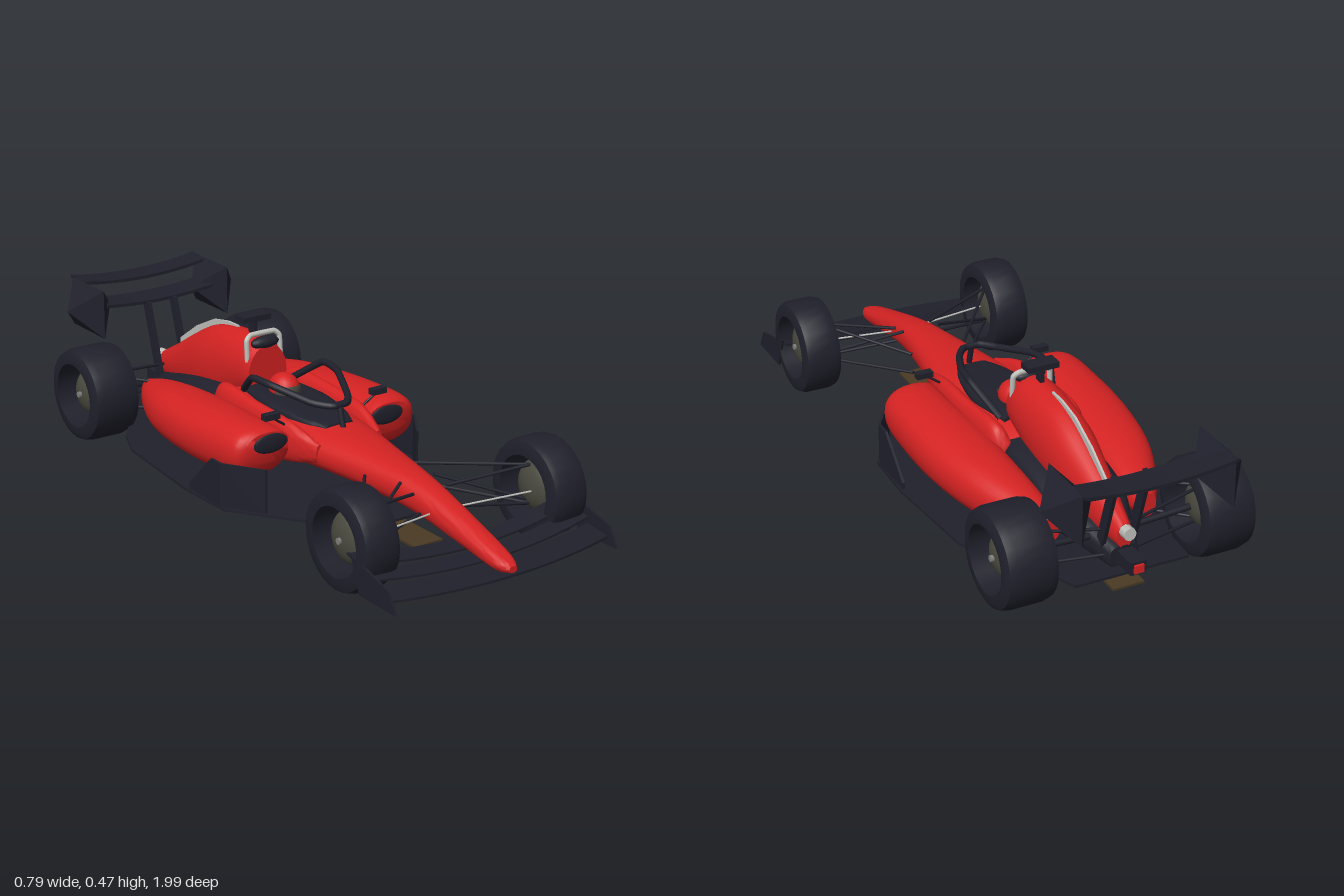
import * as THREE from 'three';
import { toCreasedNormals } from 'three/addons/utils/BufferGeometryUtils.js';

const mat = (name, color) => {
  const m = new THREE.MeshStandardMaterial({ color });
  m.name = name;
  return m;
};
const V = (x, y, z) => new THREE.Vector3(x, y, z);

// Smooth closed body; each section is [z, top, bottom, half width, centre x]
function loft(sections, power = 2.4, sides = 28, steps = 5) {
  const rows = [];
  const curve = (k) => new THREE.SplineCurve(sections.map((s) => new THREE.Vector2(s[0], s[k] ?? 0)));
  const curves = [1, 2, 3, 4].map(curve);
  const n = (sections.length - 1) * steps;
  for (let i = 0; i <= n; i++) {
    const p = curves.map((c) => c.getPoint(i / n));
    rows.push([p[0].x, ...p.map((q) => q.y)]);
  }
  const pos = [], idx = [];
  const round = (v) => Math.sign(v) * Math.abs(v) ** (2 / power);
  for (const [z, top, bot, hw, cx] of rows) {
    for (let j = 0; j < sides; j++) {
      const a = (j / sides) * Math.PI * 2;
      pos.push(cx + hw * round(Math.cos(a)), (top + bot) / 2 + ((top - bot) / 2) * round(Math.sin(a)), z);
    }
  }
  for (let i = 0; i < n; i++) {
    for (let j = 0; j < sides; j++) {
      const a = i * sides + j, b = i * sides + ((j + 1) % sides);
      idx.push(a, a + sides, b, b, a + sides, b + sides);
    }
  }
  // end caps
  for (const [row, front] of [[0, true], [n, false]]) {
    const [z, top, bot, , cx] = rows[row];
    const c = pos.length / 3, o = row * sides;
    pos.push(cx, (top + bot) / 2, z);
    for (let j = 0; j < sides; j++) {
      const a = o + j, b = o + ((j + 1) % sides);
      idx.push(c, front ? a : b, front ? b : a);
    }
  }
  const g = new THREE.BufferGeometry();
  g.setAttribute('position', new THREE.Float32BufferAttribute(pos, 3));
  g.setIndex(idx);
  return toCreasedNormals(g, 0.8);
}

// Round bar between two points
function bar(a, b, r) {
  const d = b.clone().sub(a);
  const g = new THREE.CylinderGeometry(r, r, d.length(), 8);
  g.applyQuaternion(new THREE.Quaternion().setFromUnitVectors(V(0, 1, 0), d.normalize()));
  return g.translate(...a.clone().add(b).multiplyScalar(0.5).toArray());
}

// Move every vertex by a rule that returns its new [x, y, z]
function reshape(g, rule) {
  const p = g.attributes.position;
  for (let i = 0; i < p.count; i++) p.setXYZ(i, ...rule(p.getX(i), p.getY(i), p.getZ(i)));
  g.computeVertexNormals();
  return g;
}

// Wing element, swept back and raised toward its tips
function blade(span, chord, thick, y0, z0, sweep, rise, tilt) {
  return reshape(new THREE.BoxGeometry(span, thick, chord, 20, 1, 2), (x, y, z) => {
    const t = (x / (span / 2)) ** 2;
    return [x, y0 + y + rise * t - z * tilt, z0 + z - sweep * t];
  });
}

// Upright plate with an outline of [z, y] points
function plate(points, thick, x) {
  const shape = new THREE.Shape(points.map((q) => new THREE.Vector2(...q)));
  const g = new THREE.ExtrudeGeometry(shape, { depth: thick, bevelEnabled: false });
  return g.translate(0, 0, -thick / 2).rotateY(-Math.PI / 2).translate(x, 0, 0);
}

const ellipsoid = (x, y, z, a, b, c) => new THREE.SphereGeometry(1, 20, 14).scale(a, b, c).translate(x, y, z);
const box = (w, h, d, x, y, z) => new THREE.BoxGeometry(w, h, d).translate(x, y, z);
// Bent tube with tight corners
const tube = (pts, r) => new THREE.TubeGeometry(new THREE.CatmullRomCurve3(pts, false, 'catmullrom', 0.2), 60, r, 8);

export function createModel() {
  const car = new THREE.Group();
  car.name = 'racingCar';
  const carbon = mat('carbon', 0x20202c), red = mat('redPaint', 0xd42222);
  const rim = mat('rimMetal', 0x4a4a40), wood = mat('plankWood', 0x4a3a24);
  const silver = mat('silver', 0xc0c0bc), steel = mat('skidSteel', 0x80807c);
  const add = (name, g, m, parent = car) => {
    const o = new THREE.Mesh(g, m);
    o.name = name;
    parent.add(o);
  };

  // Nose, tub and engine cover
  add('noseAndTub', loft([
    [0.995, 0.09, 0.07, 0.014], [0.945, 0.112, 0.064, 0.034], [0.8, 0.158, 0.085, 0.043],
    [0.6, 0.212, 0.115, 0.056], [0.4, 0.236, 0.125, 0.084], [0.2, 0.25, 0.125, 0.12],
    [0.05, 0.263, 0.11, 0.13], [-0.1, 0.27, 0.1, 0.138], [-0.25, 0.265, 0.1, 0.13], [-0.4, 0.22, 0.1, 0.1],
  ]), red);
  add('engineCover', loft([
    [-0.2, 0.395, 0.22, 0.07], [-0.26, 0.412, 0.2, 0.078], [-0.4, 0.405, 0.14, 0.08], [-0.5, 0.378, 0.13, 0.076],
    [-0.6, 0.325, 0.12, 0.062], [-0.7, 0.265, 0.12, 0.045], [-0.8, 0.21, 0.13, 0.025],
  ], 2), red);
  add('engineDeck', loft([
    [-0.22, 0.235, 0.09, 0.1], [-0.3, 0.25, 0.09, 0.128], [-0.45, 0.236, 0.09, 0.13], [-0.58, 0.205, 0.09, 0.122],
    [-0.7, 0.17, 0.08, 0.08], [-0.8, 0.14, 0.07, 0.045],
  ], 3.5), carbon);
  add('airInlet', ellipsoid(0, 0.4, -0.215, 0.05, 0.02, 0.022), carbon);
  add('rollHoop', tube([V(-0.061, 0.345, -0.22), V(-0.06, 0.41, -0.225), V(-0.042, 0.425, -0.23),
    V(0.042, 0.425, -0.23), V(0.06, 0.41, -0.225), V(0.061, 0.345, -0.22)], 0.0085), silver);
  add('spineFin', plate([[-0.36, 0.39], [-0.36, 0.414], [-0.42, 0.413], [-0.5, 0.398], [-0.6, 0.35],
    [-0.7, 0.282], [-0.7, 0.25], [-0.6, 0.3], [-0.5, 0.35]], 0.007, 0), silver);
  add('cameraStem', box(0.012, 0.05, 0.03, 0, 0.435, -0.28), carbon);
  add('cameraPod', box(0.1, 0.018, 0.05, 0, 0.464, -0.28), carbon);

  // Cockpit, driver and halo
  add('cockpitOpening', loft([
    [0.18, 0.256, 0.22, 0.05], [0.1, 0.264, 0.22, 0.08], [-0.04, 0.273, 0.22, 0.1], [-0.21, 0.277, 0.22, 0.08],
  ], 5), carbon);
  add('helmet', ellipsoid(0, 0.282, -0.11, 0.046, 0.048, 0.054), red);
  add('visor', new THREE.SphereGeometry(1, 20, 8, 0.35, Math.PI - 0.7, 1.2, 0.65)
    .scale(0.049, 0.051, 0.057).translate(0, 0.282, -0.11), rim);
  const rail = [[0.088, 0.27, -0.2], [0.13, 0.346, -0.09], [0.12, 0.345, 0], [0.065, 0.318, 0.13], [0.028, 0.314, 0.178]];
  add('halo', tube([...rail.map(([x, y, z]) => V(-x, y, z)), ...rail.reverse().map((q) => V(...q))], 0.011), carbon);
  add('haloPost', bar(V(0, 0.316, 0.18), V(0, 0.24, 0.2), 0.009), carbon);

  // Floor of [half width, z, height], rising into the diffuser
  const floor = [[0.11, 0.45, 0.034], [0.36, 0.1, 0.034], [0.368, -0.1, 0.036], [0.345, -0.45, 0.044],
    [0.3, -0.56, 0.048], [0.215, -0.67, 0.053], [0.18, -0.85, 0.082]];
  const bays = floor.length - 1;
  add('floor', reshape(new THREE.BoxGeometry(2, 0.008, 1, 1, 1, bays).toNonIndexed(), (x, y, z) => {
    const [w, fz, fy] = floor[Math.round((0.5 - z) * bays)];
    return [x * w, fy + y, fz];
  }), carbon);
  add('plank', box(0.1, 0.007, 1.45, 0, 0.0225, -0.105), wood);
  add('plankMount', box(0.04, 0.014, 1.1, 0, 0.03, -0.2), carbon);
  for (const z of [0.52, -0.02, -0.5]) add('skidPlate', box(0.045, 0.004, 0.06, 0, 0.0175, z), steel);
  add('skidTip', new THREE.ConeGeometry(0.013, 0.016, 8).rotateX(Math.PI).translate(0, 0.01, -0.02), carbon);

  // Rear crash structure, exhaust and light
  add('crashStructure', box(0.05, 0.04, 0.12, 0, 0.11, -0.82), carbon);
  add('exhaust', bar(V(0, 0.185, -0.74), V(0, 0.19, -0.83), 0.02), silver);
  add('rearLight', box(0.03, 0.025, 0.01, 0, 0.11, -0.883), red);

  // Front and rear wings
  const frontWing = new THREE.Group();
  frontWing.name = 'frontWing';
  add('mainPlane', blade(0.78, 0.088, 0.007, 0.063, 0.947, 0.045, 0.006, 0.1), carbon, frontWing);
  add('middleFlap', blade(0.78, 0.055, 0.006, 0.078, 0.867, 0.035, 0.022, 0.2), carbon, frontWing);
  add('upperFlap', blade(0.78, 0.05, 0.006, 0.094, 0.8, 0.018, 0.04, 0.25), carbon, frontWing);
  const rearWing = new THREE.Group();
  rearWing.name = 'rearWing';
  add('upperElement', blade(0.47, 0.078, 0.01, 0.432, -0.959, 0, 0.02, 0.06), carbon, rearWing);
  add('lowerElement', blade(0.4, 0.09, 0.01, 0.38, -0.868, 0, 0.012, 0.06), carbon, rearWing);
  car.add(frontWing, rearWing);

  // Wheel: open tyre ring with a domed hub
  const wheel = (name, s, x, z, w) => {
    const g = new THREE.Group();
    g.name = name;
    const profile = [[0.103, -w], [0.125, -w], [0.143, -w * 0.9], [0.15, -w * 0.6], [0.15, w * 0.6],
      [0.143, w * 0.9], [0.125, w], [0.103, w], [0.103, -w]].map((q) => new THREE.Vector2(...q));
    add('tyre', toCreasedNormals(new THREE.LatheGeometry(profile, 28).rotateZ(-Math.PI / 2), 0.7), carbon, g);
    add('hub', ellipsoid(0, 0, 0, w * 0.7, 0.08, 0.08), rim, g);
    add('wheelNut', bar(V(0, 0, 0), V(s * w * 0.8, 0, 0), 0.01), steel, g);
    g.position.set(s * x, 0.155, z);
    car.add(g);
  };

  // Everything that is mirrored left and right
  for (const s of [1, -1]) {
    const side = s > 0 ? 'left' : 'right';
    const M = (x, y, z) => V(s * x, y, z);
    wheel(side + 'FrontWheel', s, 0.333, 0.705, 0.062);
    wheel(side + 'RearWheel', s, 0.313, -0.72, 0.082);

    add(side + 'Sidepod', loft([
      [0.13, 0.258, 0.165, 0.078, s * 0.222], [0.1, 0.27, 0.12, 0.095, s * 0.235], [0, 0.272, 0.1, 0.102, s * 0.236],
      [-0.2, 0.263, 0.09, 0.11, s * 0.226], [-0.4, 0.245, 0.09, 0.095, s * 0.208], [-0.55, 0.215, 0.1, 0.065, s * 0.178],
      [-0.65, 0.185, 0.11, 0.03, s * 0.155],
    ], 2.3), red);
    add(side + 'SidepodInlet', ellipsoid(s * 0.213, 0.222, 0.13, 0.06, 0.03, 0.008), carbon);
    add(side + 'CockpitSide', loft([
      [0.23, 0.225, 0.17, 0.012, s * 0.108], [0.1, 0.268, 0.14, 0.028, s * 0.13], [-0.1, 0.282, 0.13, 0.03, s * 0.135],
      [-0.25, 0.285, 0.13, 0.032, s * 0.127], [-0.3, 0.23, 0.14, 0.02, s * 0.11],
    ], 2.2), red);

    // Mirror and its stay
    add(side + 'Mirror', box(0.052, 0.018, 0.025, s * 0.196, 0.296, 0.105), carbon);
    add(side + 'MirrorStay', bar(M(0.19, 0.29, 0.105), M(0.14, 0.255, 0.1), 0.004), carbon);

    // Barge board, its front half turned in along the floor edge
    const front = plate([[0.2, 0.035], [0.2, 0.175], [0.08, 0.175], [0.08, 0.035]], 0.008, s * 0.356);
    add(side + 'BargeBoardFront', reshape(front, (x, y, z) => [x - s * (z - 0.08) * 0.66, y, z]), carbon);
    add(side + 'BargeBoardRear', plate([[0.08, 0.035], [0.08, 0.175], [0.03, 0.175], [-0.09, 0.06], [-0.09, 0.035]], 0.008, s * 0.356), carbon);

    // Wing end plates and pylons
    add(side + 'FrontEndPlate', plate([[0.985, 0.04], [0.95, 0.1], [0.78, 0.145], [0.82, 0.04]], 0.007, s * 0.39), carbon, frontWing);
    add(side + 'RearEndPlate', new THREE.OctahedronGeometry(1).rotateY(Math.PI / 4).rotateZ(Math.PI / 2)
      .scale(0.079, 0.08 * Math.SQRT2, 0.098 * Math.SQRT2).translate(s * 0.235, 0.376, -0.885), carbon, rearWing);
    add(side + 'WingPylon', plate([[-0.73, 0.12], [-0.765, 0.12], [-0.845, 0.38], [-0.81, 0.38]], 0.012, s * 0.05), carbon, rearWing);

    // Suspension arms
    const arms = [
      [M(0.3, 0.225, 0.7), M(0.06, 0.19, 0.62)], [M(0.3, 0.225, 0.7), M(0.09, 0.19, 0.43)],
      [M(0.3, 0.105, 0.7), M(0.05, 0.135, 0.64)], [M(0.3, 0.105, 0.7), M(0.09, 0.13, 0.42)],
      [M(0.3, 0.115, 0.69), M(0.06, 0.205, 0.56)],
      [M(0.3, 0.21, -0.71), M(0.07, 0.18, -0.5)], [M(0.3, 0.21, -0.71), M(0.03, 0.18, -0.76)],
      [M(0.3, 0.1, -0.71), M(0.08, 0.11, -0.52)], [M(0.3, 0.1, -0.71), M(0.03, 0.11, -0.78)],
    ];
    for (const [a, b] of arms) add(side + 'SuspensionArm', bar(a, b, 0.005), carbon);
    add(side + 'TrackRod', bar(M(0.3, 0.15, 0.72), M(0.03, 0.148, 0.68), 0.003), silver);
    add(side + 'DriveShaft', bar(M(0.3, 0.155, -0.717), M(0.03, 0.14, -0.717), 0.01), carbon);
  }
  return car;
}
